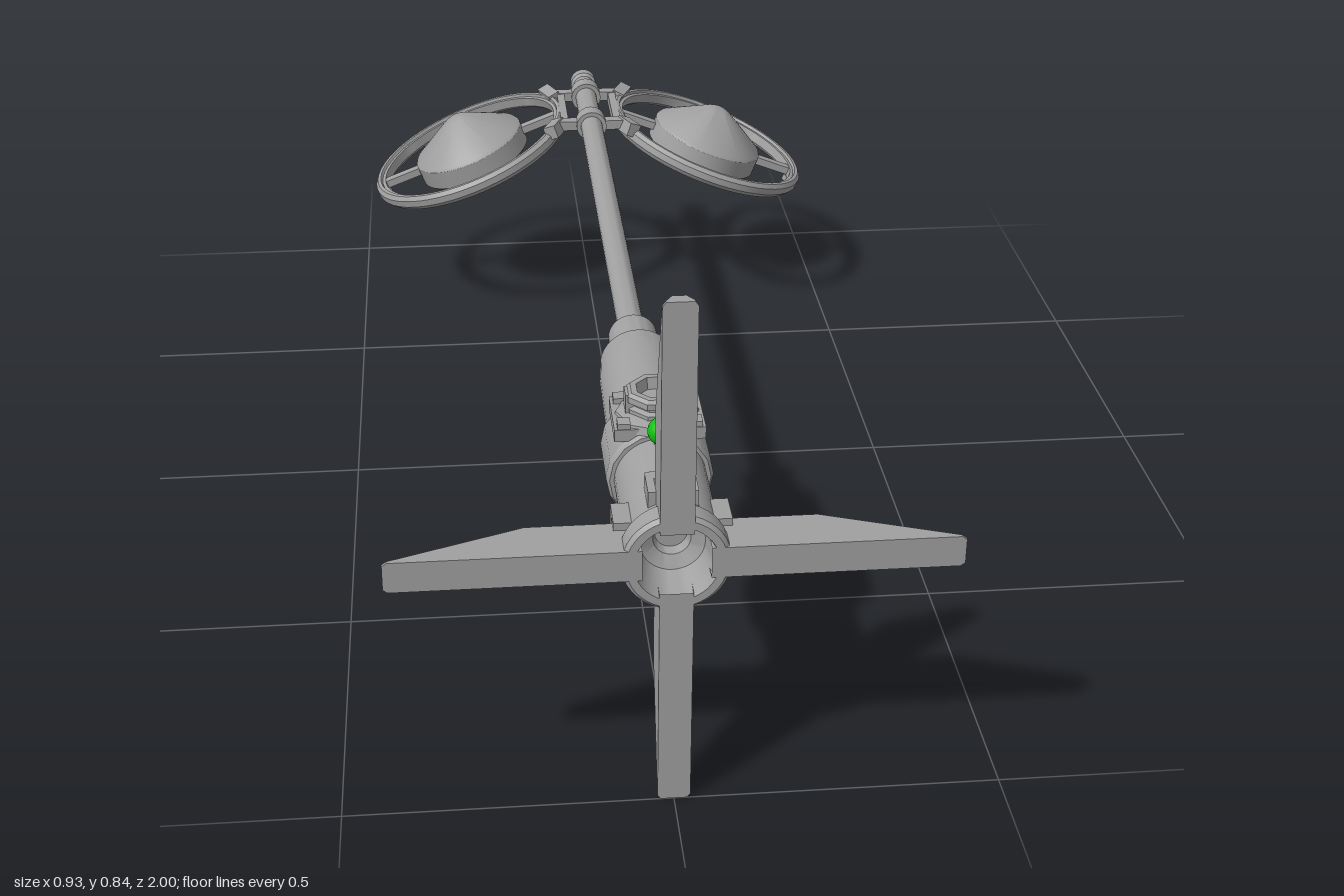
import * as THREE from 'three';
import { toCreasedNormals } from 'three/addons/utils/BufferGeometryUtils.js';

const AXIS_Y = 0.421;
const steel = new THREE.MeshStandardMaterial({ color: 0xa0a0a0, name: 'steel grey', side: THREE.DoubleSide });
const green = new THREE.MeshStandardMaterial({ color: 0x10c010, name: 'indicator green' });

function add(parent, name, geometry, x = 0, y = 0, z = 0, material = steel) {
  const mesh = new THREE.Mesh(geometry, material);
  mesh.name = name;
  mesh.position.set(x, y, z);
  parent.add(mesh);
  return mesh;
}

// Turned part around y; profile is [radius, height] pairs going up the outside.
function turned(profile, sides = 40) {
  const points = profile.map(([r, h]) => new THREE.Vector2(r, h));
  return toCreasedNormals(new THREE.LatheGeometry(points, sides), 0.45);
}

const box = (w, h, d) => new THREE.BoxGeometry(w, h, d);

// Tapered fin pointing up, with a chamfered rear edge and tip.
function finGeometry() {
  const stations = [ // distance from axis, rear z, half width
    [0.05, 0.905, 0.025], [0.215, 0.905, 0.025], [0.413, 0.978, 0.025], [0.42, 0.98, 0.02],
  ];
  const vertices = [], index = [];
  for (const [r, rear, w] of stations) {
    const shoulder = Math.min(rear + 0.018, 0.995);
    vertices.push(-w, r, 1, w, r, 1, w, r, shoulder, w * 0.5, r, rear, -w * 0.5, r, rear, -w, r, shoulder);
  }
  for (let s = 0; s < stations.length - 1; s++) {
    for (let i = 0; i < 6; i++) {
      const a = s * 6 + i, b = s * 6 + (i + 1) % 6;
      index.push(a, b, b + 6, a, b + 6, a + 6);
    }
  }
  const last = (stations.length - 1) * 6;
  for (let i = 1; i < 5; i++) index.push(last, last + i, last + i + 1);
  const g = new THREE.BufferGeometry();
  g.setAttribute('position', new THREE.Float32BufferAttribute(vertices, 3));
  g.setIndex(index);
  return toCreasedNormals(g, 0.3);
}

// Tilted ring holding a conical disc on a crossbar.
function makePaddle(side) {
  const paddle = new THREE.Group();
  paddle.name = side > 0 ? 'leftPaddle' : 'rightPaddle';
  add(paddle, 'ring', turned([
    [0.199, -0.01], [0.204, -0.016], [0.214, -0.016], [0.222, -0.006], [0.222, 0.008],
    [0.215, 0.016], [0.208, 0.016], [0.206, 0.01], [0.199, 0.01], [0.199, -0.01],
  ], 56));
  add(paddle, 'disc', turned([
    [0, -0.044], [0.07, -0.044], [0.08, -0.05], [0.09, -0.048], [0.094, -0.036], [0.116, -0.03],
    [0.122, -0.024], [0.122, 0.016], [0.118, 0.022], [0.026, 0.08], [0.014, 0.085], [0, 0.086],
  ], 48));
  for (const s of [-1, 1]) {
    add(paddle, 'crossbar', box(0.09, 0.016, 0.022), s * 0.16, 0, 0);
    add(paddle, 'ringPin', new THREE.CylinderGeometry(0.012, 0.012, 0.012, 12), s * 0.208, -0.018, 0);
  }
  paddle.position.set(side * 0.257, 0.335, -0.777);
  paddle.rotation.z = -side * 0.375;
  return paddle;
}

export function createModel() {
  const model = new THREE.Group();
  model.name = 'finnedPoleWithPaddles';

  // Everything centred on the long axis
  const shaft = new THREE.Group();
  shaft.name = 'shaft';
  shaft.position.y = AXIS_Y;
  model.add(shaft);
  const lathe = (name, profile, sides) => add(shaft, name, turned(profile, sides).rotateX(Math.PI / 2));

  lathe('pole', [
    [0, -0.953], [0.022, -0.953], [0.028, -0.948], [0.028, -0.925], [0.023, -0.918], [0.023, 0.3],
  ], 24);
  lathe('body', [
    [0.023, 0.287], [0.036, 0.287], [0.042, 0.294], [0.042, 0.38], [0.056, 0.381], [0.064, 0.392],
    [0.069, 0.45], [0.071, 0.63], [0.071, 0.955], [0.08, 0.962], [0.08, 0.994], [0.074, 1],
    [0.062, 1], [0.055, 0.97], [0.048, 0.94], [0.028, 0.93], [0.024, 0.915], [0, 0.915],
  ]);
  lathe('clampCollar', [
    [0.07, 0.642], [0.078, 0.642], [0.083, 0.65], [0.083, 0.755], [0.078, 0.765], [0.07, 0.765],
  ], 16);

  // Four fins with their root clamps
  const fin = finGeometry();
  for (let i = 0; i < 4; i++) {
    const unit = new THREE.Group();
    unit.name = 'finUnit';
    unit.rotation.z = i * Math.PI / 2;
    add(unit, 'fin', fin);
    for (const s of [-1, 1]) add(unit, 'finClamp', box(0.012, 0.03, 0.055), s * 0.031, 0.072, 0.915);
    add(unit, 'finStop', box(0.06, 0.03, 0.02), 0, 0.072, 0.895);
    shaft.add(unit);
  }

  // Valve on top of the body
  const valve = new THREE.Group();
  valve.name = 'valve';
  valve.position.set(0, AXIS_Y, 0.705);
  model.add(valve);
  add(valve, 'saddle', box(0.14, 0.02, 0.105), 0, 0.074, 0);
  add(valve, 'saddleTop', turned([[0.068, 0.075], [0.064, 0.088], [0.05, 0.094], [0, 0.094]], 8));
  add(valve, 'socket', turned([
    [0.048, 0.09], [0.048, 0.1], [0.04, 0.104], [0.04, 0.11], [0.05, 0.112], [0.05, 0.122],
    [0.044, 0.127], [0.034, 0.127], [0.03, 0.108], [0, 0.108],
  ], 8).rotateY(Math.PI / 8));
  for (const s of [-1, 1]) {
    for (const t of [-1, 1]) add(valve, 'saddleBolt', box(0.02, 0.03, 0.022), s * 0.055, 0.078, t * 0.04);
    add(valve, 'socketLug', box(0.014, 0.034, 0.03), s * 0.043, 0.106, 0);
  }

  // Green indicator on a short stem
  add(model, 'indicatorStem', new THREE.CylinderGeometry(0.012, 0.012, 0.03, 12), 0, AXIS_Y + 0.075, 0.778);
  add(model, 'indicator', new THREE.SphereGeometry(0.022, 20, 14), 0, 0.513, 0.778, green);

  // Bracket joining the paddles to the pole
  const bracket = new THREE.Group();
  bracket.name = 'bracket';
  bracket.position.set(0, AXIS_Y, -0.777);
  model.add(bracket);
  for (const t of [-1, 1]) {
    const collar = add(bracket, 'collar', new THREE.CylinderGeometry(0.032, 0.032, 0.035, 20), 0, 0, t * 0.085);
    collar.rotation.x = Math.PI / 2;
    for (const s of [-1, 1]) {
      add(bracket, 'arm', box(0.05, 0.02, 0.024), s * 0.045, 0, t * 0.085);
      const claw = add(bracket, 'claw', box(0.026, 0.028, 0.055), s * 0.078, -0.004, t * 0.098);
      claw.rotation.set(0, s * t * 0.4, -s * 0.375);
    }
  }
  for (const s of [-1, 1]) add(bracket, 'sideRail', box(0.016, 0.024, 0.17), s * 0.056, -0.004, 0);

  for (const side of [-1, 1]) model.add(makePaddle(side));
  return model;
}
